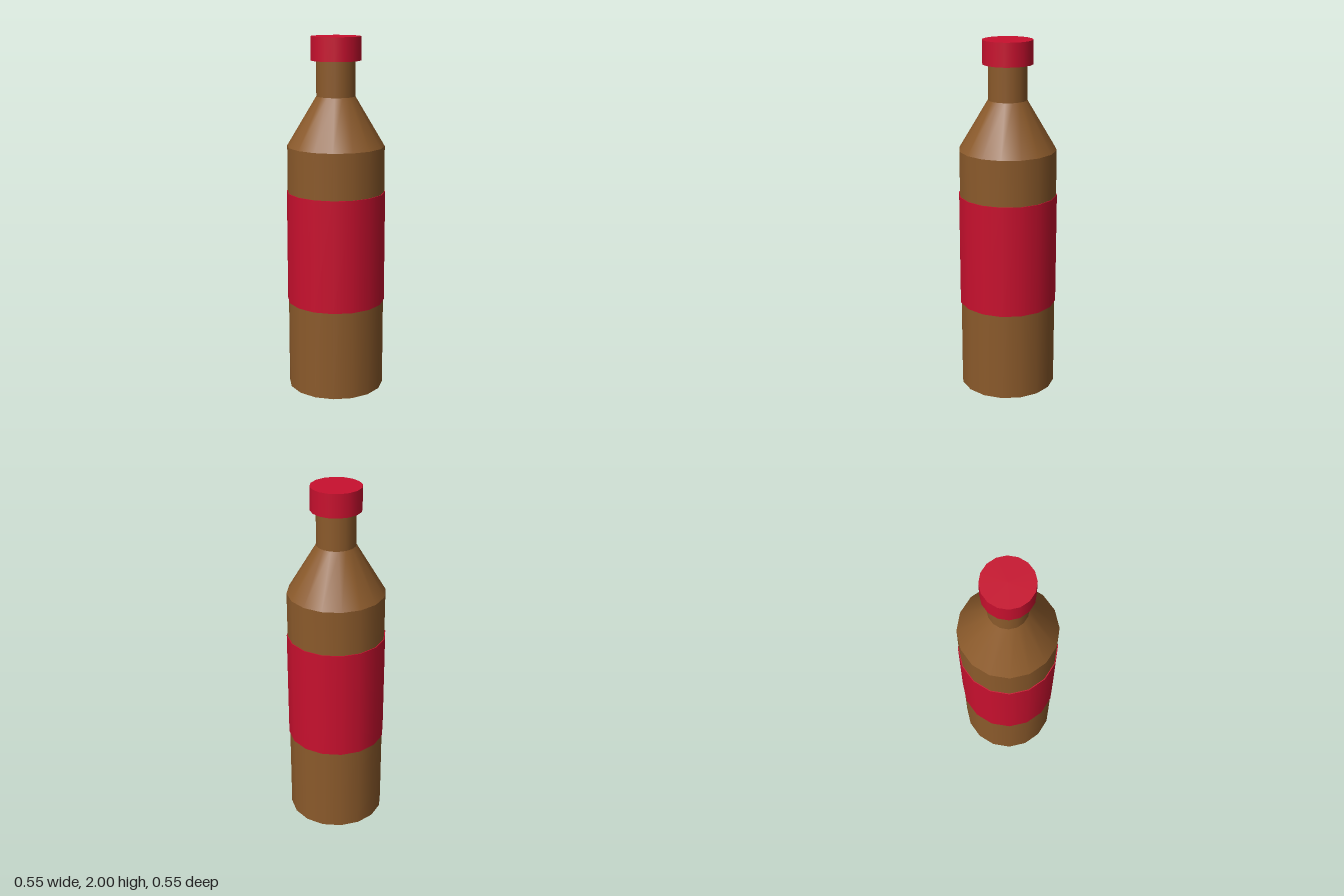
import * as THREE from 'three';

const SIDES = 16;

export function createModel() {
  const bottle = new THREE.Group();
  bottle.name = 'bottle';

  const glass = new THREE.MeshStandardMaterial({ color: 0x8b5a2b });
  const red = new THREE.MeshStandardMaterial({ color: 0xc8102e });

  // Round section between two heights, smooth around the side
  function section(name, rBottom, rTop, y0, y1, material, open = false) {
    const geometry = new THREE.CylinderGeometry(rTop, rBottom, y1 - y0, SIDES, 1, open);
    const mesh = new THREE.Mesh(geometry, material);
    mesh.name = name;
    mesh.position.y = (y0 + y1) / 2;
    bottle.add(mesh);
  }

  // Glass
  section('body', 0.272, 0.272, 0, 1.4, glass);
  section('shoulder', 0.272, 0.108, 1.4, 1.675, glass, true);
  section('neck', 0.108, 0.108, 1.675, 1.87, glass, true);

  // Wrapped label and cap
  section('label', 0.277, 0.277, 0.508, 1.143, red);
  section('cap', 0.139, 0.139, 1.87, 2, red);

  return bottle;
}
